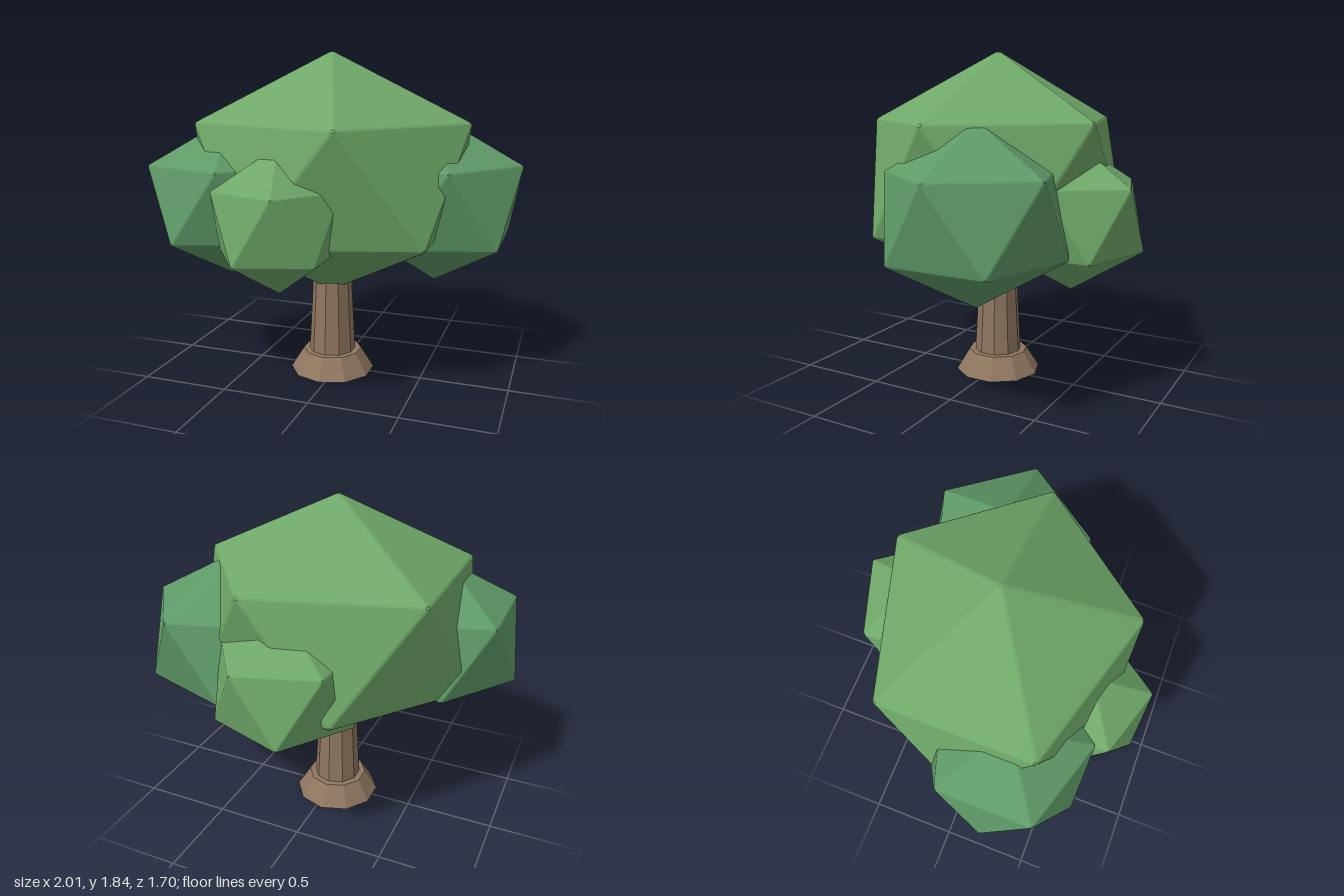
import * as THREE from 'three';
import { ConvexGeometry } from 'three/addons/geometries/ConvexGeometry.js';

const material = (color) => new THREE.MeshStandardMaterial({ color, flatShading: true });

// Unit icosahedron standing on a pole, with narrow bevels along its edges
function bevelledIcosahedron(bevel = 0.03) {
  const top = new THREE.Vector3(0, 1, 0);
  const bottom = new THREE.Vector3(0, -1, 0);
  const ring = (y, offset) => Array.from({ length: 5 }, (_, i) => {
    const a = (i + offset) * Math.PI * 2 / 5;
    return new THREE.Vector3(0.894 * Math.cos(a), y, 0.894 * Math.sin(a));
  });
  const upper = ring(0.447, 0);
  const lower = ring(-0.447, 0.5);
  const points = [];
  for (let i = 0; i < 5; i++) {
    const j = (i + 1) % 5;
    const faces = [
      [top, upper[i], upper[j]],
      [upper[i], upper[j], lower[i]],
      [lower[i], lower[j], upper[j]],
      [bottom, lower[i], lower[j]],
    ];
    // each face shrinks in its own plane; the hull fills in the bevels
    for (const face of faces) {
      const centre = new THREE.Vector3();
      face.forEach((v) => centre.addScaledVector(v, 1 / 3));
      face.forEach((v) => points.push(v.clone().lerp(centre, bevel)));
    }
  }
  return new ConvexGeometry(points);
}

export function createModel() {
  const tree = new THREE.Group();
  tree.name = 'tree';

  const bark = material(0x8f7660);
  const lightLeaf = material(0x6fa869);
  const darkLeaf = material(0x5f9a67);

  // Ten-sided trunk and flared foot
  const addTrunkPart = (name, rTop, rBottom, y0, y1) => {
    const geometry = new THREE.CylinderGeometry(rTop, rBottom, y1 - y0, 10);
    const mesh = new THREE.Mesh(geometry, bark);
    mesh.name = name;
    mesh.position.set(-0.035, (y0 + y1) / 2, 0);
    tree.add(mesh);
  };
  addTrunkPart('trunkFoot', 0.17, 0.245, 0, 0.12);
  addTrunkPart('trunk', 0.102, 0.135, 0.11, 0.75);

  // Leaf clumps: name, material, centre, radii
  const clumps = [
    ['mainCrown', lightLeaf, [-0.035, 1.165, 0], [0.875, 0.685, 0.793]],
    ['rightClump', darkLeaf, [-0.56, 1.043, 0.24], [0.495, 0.442, 0.488]],
    ['leftClump', darkLeaf, [0.53, 1.022, -0.18], [0.533, 0.475, 0.523]],
    ['frontClump', lightLeaf, [-0.14, 0.99, 0.53], [0.378, 0.383, 0.38]],
    ['backClump', lightLeaf, [0.04, 0.97, -0.49], [0.428, 0.405, 0.428]],
  ];
  const leafGeometry = bevelledIcosahedron();
  for (const [name, mat, centre, radii] of clumps) {
    const mesh = new THREE.Mesh(leafGeometry, mat);
    mesh.name = name;
    mesh.position.set(...centre);
    mesh.scale.set(...radii);
    tree.add(mesh);
  }
  return tree;
}
